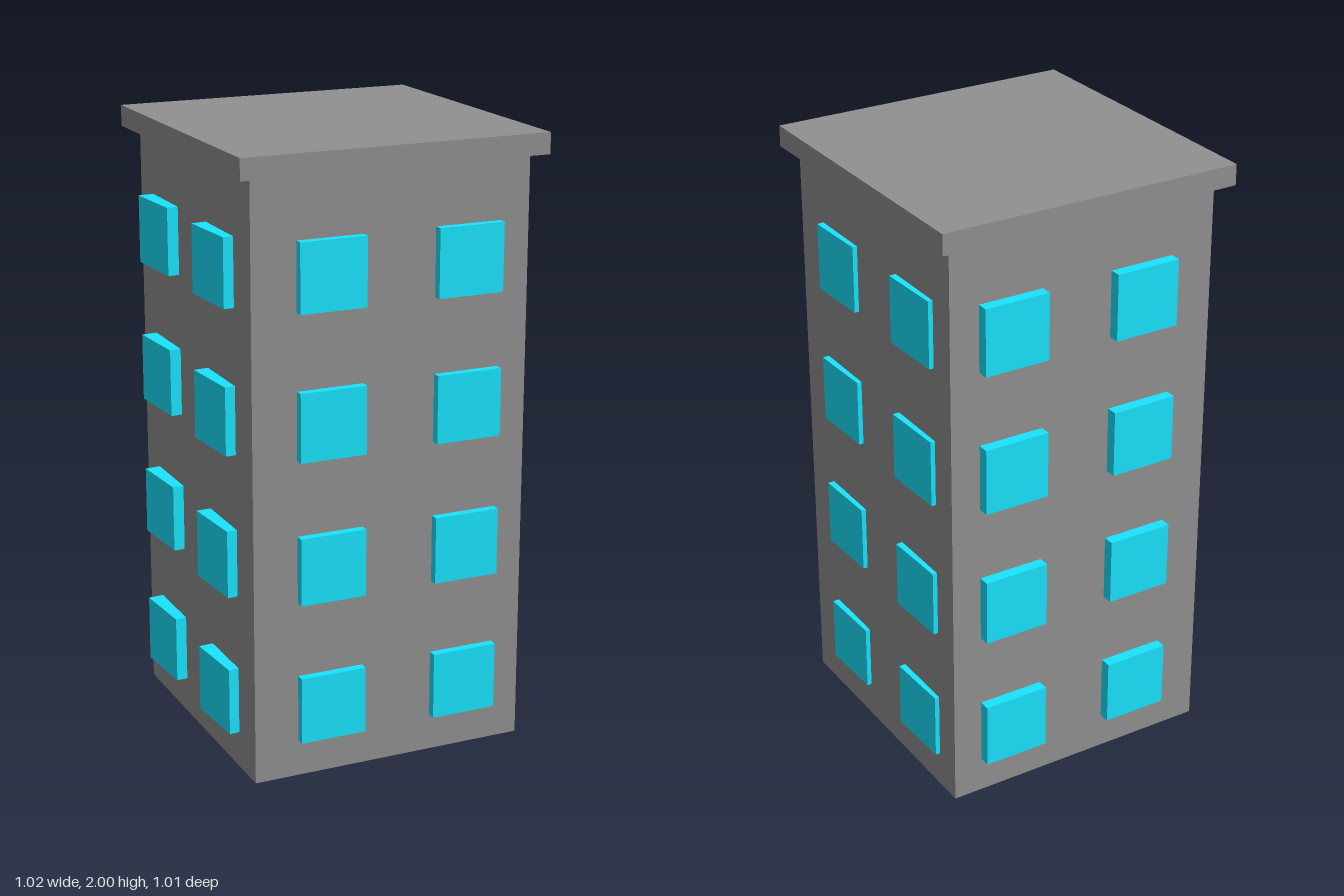
import * as THREE from 'three';

export function createModel() {
  const model = new THREE.Group();
  model.name = 'towerBlock';
  const wall = new THREE.MeshStandardMaterial({ color: 0x919191 });
  const glass = new THREE.MeshStandardMaterial({ color: 0x19e5ff });

  const addBox = (parent, name, mat, size, pos, turn = 0) => {
    const mesh = new THREE.Mesh(new THREE.BoxGeometry(...size), mat);
    mesh.name = name;
    mesh.position.set(...pos);
    mesh.rotation.y = turn;
    parent.add(mesh);
  };

  // Main block and overhanging flat roof
  addBox(model, 'walls', wall, [0.928, 1.94, 0.925], [0.004, 0.97, -0.001]);
  addBox(model, 'roof', wall, [1.02, 0.068, 1.014], [0.002, 1.966, 0]);

  // Windows: four floors, two columns per side; each column has [along, outward] centres.
  // Those on the left and right sit slightly askew.
  const size = 0.22, depth = 0.06;
  const sides = [
    { name: 'front', axis: 'z', columns: [[-0.203, 0.46], [0.259, 0.46]], turn: 0 },
    { name: 'back', axis: 'z', columns: [[-0.203, -0.471], [0.259, -0.471]], turn: 0 },
    { name: 'left', axis: 'x', columns: [[0.205, 0.457], [-0.257, 0.457]], turn: 0.03 },
    { name: 'right', axis: 'x', columns: [[0.22, -0.471], [-0.24, -0.4745]], turn: 0.068 },
  ];
  for (const side of sides) {
    const group = new THREE.Group();
    group.name = side.name + 'Windows';
    for (let floor = 0; floor < 4; floor++) {
      const y = 0.23 + floor * 0.464;
      for (const [along, out] of side.columns) {
        if (side.axis === 'z') addBox(group, 'window', glass, [size, size, depth], [along, y, out]);
        else addBox(group, 'window', glass, [depth, size, size], [out, y, along], side.turn);
      }
    }
    model.add(group);
  }
  return model;
}
